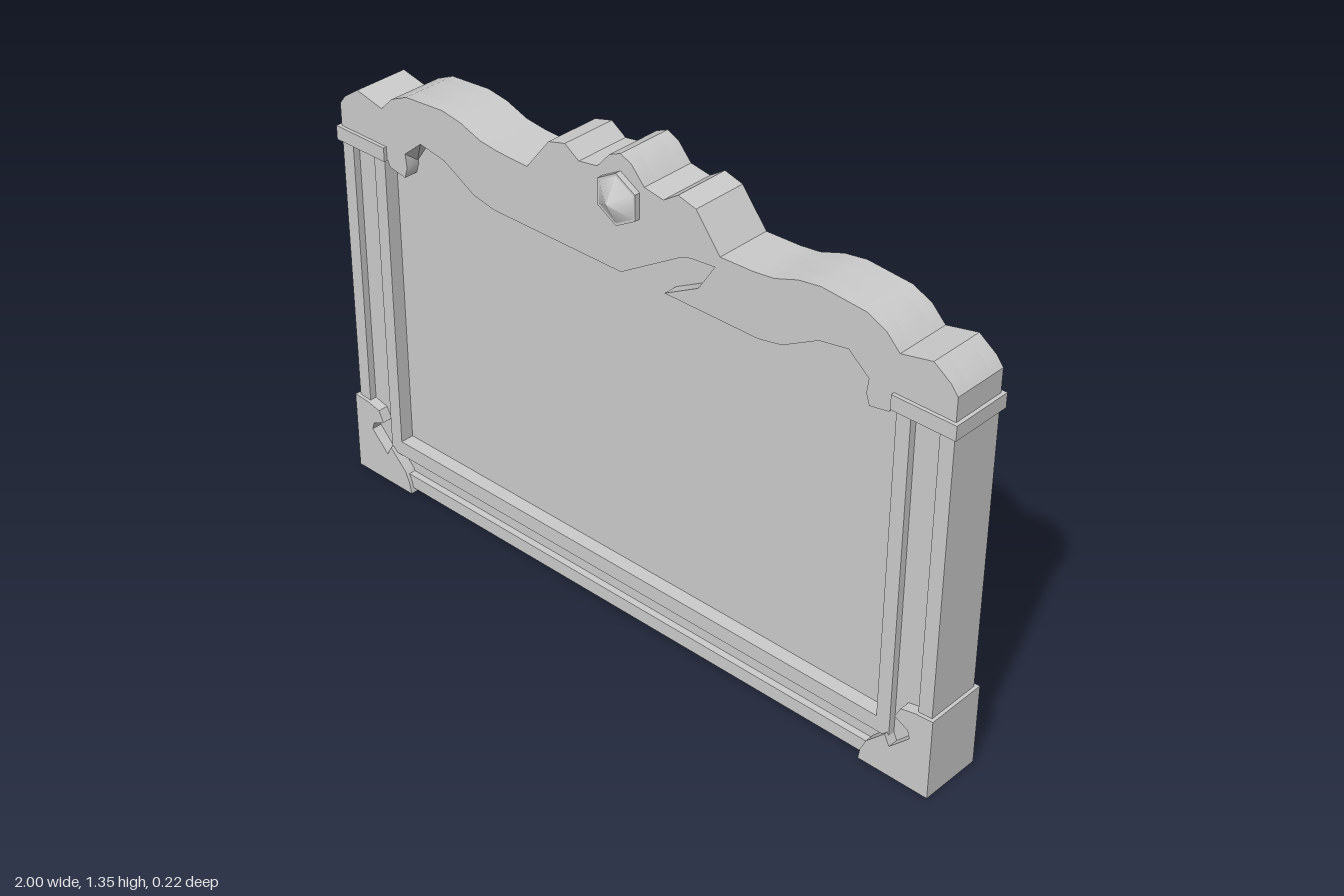
import * as THREE from 'three';
import { toCreasedNormals } from 'three/addons/utils/BufferGeometryUtils.js';
import { ConvexGeometry } from 'three/addons/geometries/ConvexGeometry.js';

const material = new THREE.MeshStandardMaterial({ color: 0xcccccc });
const PANEL = 0.04, GROOVE = 0.06, FACE = 0.08, BLOCK = 0.09; // half depths

export function createModel() {
  const group = new THREE.Group();
  const body = new THREE.Group();
  body.name = 'frame';
  body.position.z = -0.02;
  group.add(body);

  const add = (name, geometry, parent = body) => {
    const mesh = new THREE.Mesh(geometry, material);
    mesh.name = name;
    parent.add(mesh);
    return mesh;
  };
  // box between two x and two y limits, symmetric in depth
  const slab = (name, x0, x1, y0, y1, half) =>
    add(name, new THREE.BoxGeometry(x1 - x0, y1 - y0, half * 2)
      .translate((x0 + x1) / 2, (y0 + y1) / 2, 0));
  // outline extruded between two depths
  const plate = (name, points, z0, z1) => {
    const shape = new THREE.Shape(points.map(p => new THREE.Vector2(...p)));
    const g = new THREE.ExtrudeGeometry(shape, { depth: z1 - z0, bevelEnabled: false });
    return add(name, toCreasedNormals(g.translate(0, 0, z0), 0.6));
  };
  const mirror = points => points.map(([x, y]) => [-x, y]).reverse();

  // scalloped top edge, outer right end to centre
  const topHalf = [[0.99, 1.13], [0.97, 1.155], [0.92, 1.19], [0.83, 1.17], [0.79, 1.21],
    [0.735, 1.235], [0.605, 1.245], [0.54, 1.235], [0.47, 1.21], [0.41, 1.203], [0.31, 1.2],
    [0.235, 1.295], [0.18, 1.31], [0.135, 1.28], [0.075, 1.29], [0.035, 1.335]];
  const topEdge = [...topHalf, [0, 1.35], ...mirror(topHalf)];

  // carved lower edge of the crest, left end towards centre
  const lowerLeft = [[-0.99, 1.03], [-0.82, 1.03], [-0.81, 1.01], [-0.755, 1.0], [-0.745, 1.03],
    [-0.75, 1.07], [-0.69, 1.12], [-0.605, 1.105], [-0.5, 1.047], [-0.43, 1.033]];
  const lowerRight = mirror(lowerLeft);
  const notch = [[0, 1.033], [0.19, 1.15], [0.22, 1.16], [0.295, 1.167], [0.245, 1.09], [0.14, 1.033]];

  // panel with the crest core above it
  plate('panel', [[-0.85, 0.1], [0.85, 0.1], [0.85, 1.05], [0.99, 1.05], ...topEdge,
    [-0.99, 1.05], [-0.85, 1.05]], -PANEL, PANEL);
  plate('crestFront', [...lowerLeft, ...notch, ...lowerRight, ...topEdge], PANEL, FACE);
  plate('crestBack', [...lowerLeft, ...lowerRight, ...topEdge], -FACE, -PANEL);

  // sloping slivers inside the carved curls
  for (const s of [-1, 1]) for (const d of [-1, 1]) {
    add('curlFacet', new ConvexGeometry([
      [0.75, 1.035, PANEL], [0.75, 1.07, FACE], [0.69, 1.12, FACE],
      [0.75, 1.07, PANEL], [0.69, 1.12, PANEL],
    ].map(([x, y, z]) => new THREE.Vector3(s * x, y, d * z))));
  }

  // grooved bottom rail
  slab('railCore', -0.98, 0.98, 0.02, 0.12, GROOVE);
  slab('railOuterStrip', -0.98, 0.98, 0.015, 0.055, FACE);
  slab('railInnerStrip', -0.87, 0.87, 0.105, 0.15, FACE);

  const corner = [[1, 0], [1, 0.235], [0.95, 0.232], [0.906, 0.222], [0.89, 0.19], [0.93, 0.17],
    [0.937, 0.148], [0.88, 0.09], [0.865, 0.12], [0.81, 0.065], [0.795, 0.03], [0.79, 0]];
  for (const s of [-1, 1]) {
    // grooved posts, caps and carved corner blocks
    const side = (name, a, b, y0, y1, half) =>
      slab(name, Math.min(s * a, s * b), Math.max(s * a, s * b), y0, y1, half);
    side('postCore', 0.84, 0.98, 0.05, 1.05, GROOVE);
    side('postOuterStrip', 0.95, 0.99, 0.02, 1.04, FACE);
    side('postInnerStrip', 0.83, 0.87, 0.105, 1.04, FACE);
    side('postCap', 0.82, 1, 1.025, 1.065, BLOCK);
    plate('cornerBlock', s > 0 ? corner : mirror(corner), -BLOCK, BLOCK);
  }

  // six-sided jewel on the crest
  const jewel = new THREE.Group();
  jewel.name = 'jewel';
  jewel.position.set(0, 1.235, 0.06);
  group.add(jewel);
  add('jewelBase', toCreasedNormals(new THREE.CylinderGeometry(0.07, 0.07, 0.016, 6)
    .rotateX(Math.PI / 2).translate(0, 0, 0.008), 0.5), jewel);
  add('jewelPoint', new THREE.ConeGeometry(0.063, 0.034, 6)
    .rotateX(Math.PI / 2).translate(0, 0, 0.033), jewel);

  return group;
}
